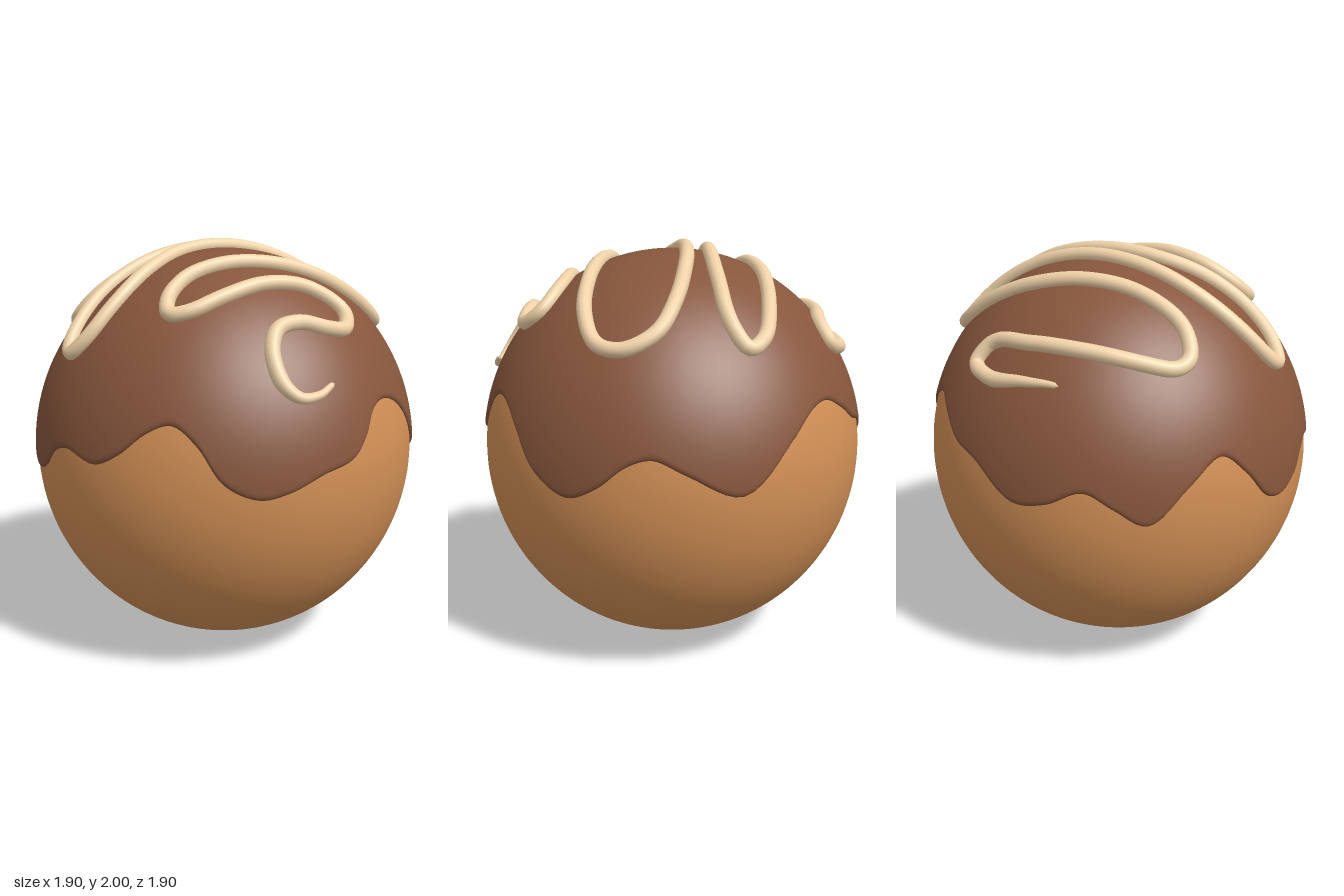
import * as THREE from 'three';
import { ParametricGeometry } from 'three/addons/geometries/ParametricGeometry.js';
import { mergeVertices } from 'three/addons/utils/BufferGeometryUtils.js';

const RX = 0.945, RY = 0.97; // half width and half height of the dough ball
const TUBE = 0.035;

const material = (color) => new THREE.MeshStandardMaterial({ color, roughness: 0.7 });

function addMesh(group, name, geometry, color) {
  const mesh = new THREE.Mesh(geometry, material(color));
  mesh.name = name;
  group.add(mesh);
  return mesh;
}

// Wavy lower rim of the icing: [degrees around from the front towards +x, height]
const RIM = [
  [2, 1.10], [14, 1.065], [22, 1.125], [30, 1.23], [37, 1.27], [44, 1.19], [51, 1.03], [60, 0.96],
  [68, 0.98], [78, 1.045], [88, 1.09], [93, 1.165], [98, 1.27], [104, 1.31], [112, 1.285], [120, 1.195],
  [129, 1.04], [140, 0.955], [149, 1.015], [157, 1.12], [164, 1.155], [173, 1.09], [188, 0.985],
  [203, 1.185], [213, 1.30], [221, 1.325], [229, 1.27], [238, 1.185], [248, 1.135], [261, 1.0],
  [271, 1.02], [281, 1.09], [289, 1.02], [298, 0.94], [309, 1.1], [319, 1.21], [327, 1.11],
  [335, 0.965], [342, 0.93], [350, 0.98], [356, 1.07],
];

// Zigzag of the drizzle seen from above: x, z pairs
const ZIGZAG = [
  -0.815, 0.035, -0.805, -0.13, -0.765, -0.31, -0.68, -0.42, -0.645, -0.36, -0.693, -0.15, -0.708, 0.08,
  -0.67, 0.33, -0.60, 0.485, -0.53, 0.52, -0.45, 0.465, -0.405, 0.28, -0.396, 0, -0.39, -0.255,
  -0.345, -0.51, -0.28, -0.68, -0.19, -0.74, -0.13, -0.665, -0.125, -0.435, -0.155, -0.155,
  -0.207, 0.18, -0.233, 0.485, -0.207, 0.68, -0.155, 0.79, -0.095, 0.815, -0.023, 0.765, 0, 0.64,
  -0.028, 0.435, -0.07, 0.205, -0.054, -0.077, 0, -0.33, 0.09, -0.56, 0.19, -0.675, 0.335, -0.685,
  0.45, -0.60, 0.478, -0.435, 0.437, -0.23, 0.36, 0, 0.263, 0.255, 0.233, 0.41, 0.263, 0.525,
  0.325, 0.57, 0.396, 0.51, 0.447, 0.36, 0.488, 0.13, 0.55, -0.06, 0.652, -0.17, 0.724, -0.11,
  0.724, 0, 0.683, 0.13, 0.673, 0.255, 0.72, 0.32, 0.785, 0.33, 0.84, 0.28, 0.867, 0.18, 0.862, 0.09,
];

// Thin shell over the top of the ball, rolling into the dough at its wavy rim
function icingGeometry() {
  const rim = new THREE.CatmullRomCurve3(RIM.map(([deg, y]) => {
    const a = THREE.MathUtils.degToRad(deg);
    return new THREE.Vector3(Math.sin(a), y, Math.cos(a));
  }), true);
  const p = new THREE.Vector3();
  const shell = new ParametricGeometry((u, v, target) => {
    rim.getPoint(u % 1, p);
    const around = Math.atan2(p.x, p.z);
    const edge = Math.acos((p.y - RY) / (RY + 0.012));
    const fromRim = edge * v * v;
    const roll = 1 - Math.min(fromRim / 0.03, 1);
    const offset = -0.004 + 0.017 * Math.sqrt(1 - roll * roll);
    const polar = edge - fromRim;
    const r = (RX + offset) * Math.sin(polar);
    target.set(r * Math.sin(around), RY + (RY + offset) * Math.cos(polar), r * Math.cos(around));
  }, 246, 50);
  // Weld the seam so the shading is continuous
  shell.deleteAttribute('uv');
  shell.deleteAttribute('normal');
  const welded = mergeVertices(shell, 1e-5);
  welded.computeVertexNormals();
  return welded;
}

// Round bead laid on the icing, thinning at both ends
function drizzleGeometry() {
  const flat = [];
  for (let i = 0; i < ZIGZAG.length; i += 2) flat.push(new THREE.Vector3(ZIGZAG[i], 0, ZIGZAG[i + 1]));
  const points = new THREE.CatmullRomCurve3(flat).getPoints(220).map((q) => {
    const k = (q.x * q.x + q.z * q.z) / (0.972 * 0.972);
    return q.setY(RY + 0.995 * Math.sqrt(1 - k));
  });
  const path = new THREE.CatmullRomCurve3(points);
  path.arcLengthDivisions = 1500;
  const rings = 600, sides = 12;
  const tube = new THREE.TubeGeometry(path, rings, TUBE, sides);
  const pos = tube.attributes.position;
  const v = new THREE.Vector3();
  for (let i = 0; i <= rings; i++) {
    const t = Math.min(i, rings - i) / rings;
    const scale = t === 0 ? 0 : Math.min(1, 0.35 + 0.65 * t / 0.03);
    if (scale === 1) continue;
    const centre = path.getPointAt(i / rings);
    for (let j = 0; j <= sides; j++) {
      const n = i * (sides + 1) + j;
      v.fromBufferAttribute(pos, n).sub(centre).multiplyScalar(scale).add(centre);
      pos.setXYZ(n, v.x, v.y, v.z);
    }
  }
  return tube;
}

export function createModel() {
  const group = new THREE.Group();
  group.name = 'glazedDoughBall';

  const dough = addMesh(group, 'dough', new THREE.SphereGeometry(1, 96, 64), 0xd18f55);
  dough.scale.set(RX, RY, RX);
  dough.position.y = RY;

  addMesh(group, 'icing', icingGeometry(), 0x87563c);
  addMesh(group, 'drizzle', drizzleGeometry(), 0xf0d2a8);
  return group;
}
